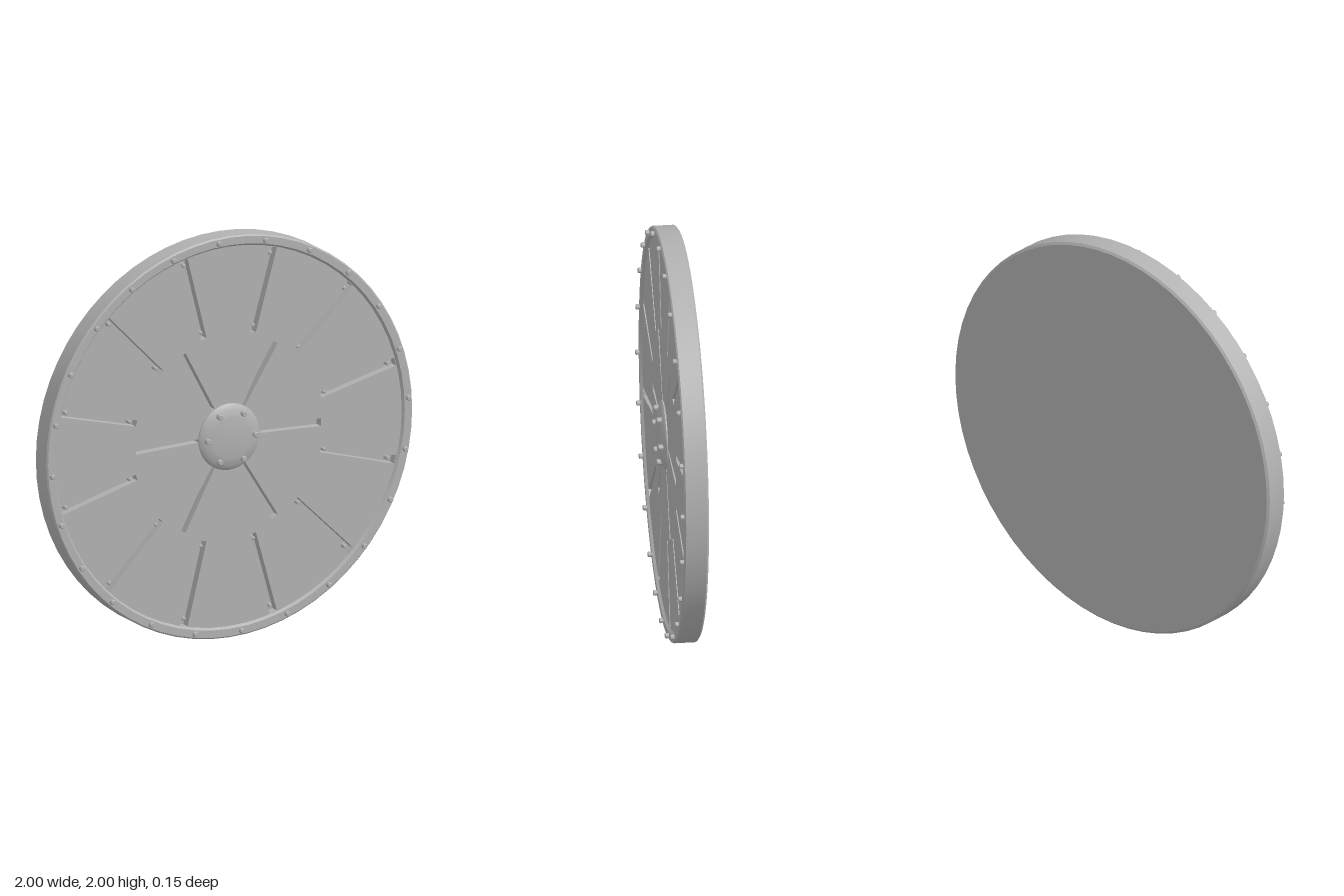
import * as THREE from 'three';
import { toCreasedNormals } from 'three/addons/utils/BufferGeometryUtils.js';

const FLOOR = -0.012; // bottom of the slots
const FACE = 0.03;    // front of the recessed plates
const RIM = 0.043;    // front of the outer rim

export function createModel() {
  const steel = new THREE.MeshStandardMaterial({ color: 0xb2b2b2 });
  steel.name = 'grey steel';
  const model = new THREE.Group();
  const disc = new THREE.Group();
  disc.name = 'roundDoor';
  disc.position.y = 1;
  model.add(disc);

  const add = (name, geometry) => {
    const mesh = new THREE.Mesh(geometry, steel);
    mesh.name = name;
    disc.add(mesh);
    return mesh;
  };

  // Turned part whose axis points to the front; points are [radius, z]
  const turned = (points, segments) => {
    const g = new THREE.LatheGeometry(points.map(([r, z]) => new THREE.Vector2(r, z)), segments);
    g.rotateX(Math.PI / 2);
    return toCreasedNormals(g, 0.4);
  };

  // Tapered radial slot used as a hole in a plate
  const slot = (angle, r0, r1, w0, w1) => {
    const c = Math.cos(angle), s = Math.sin(angle);
    const corners = [[r0, -w0 / 2], [r0, w0 / 2], [r1, w1 / 2], [r1, -w1 / 2]];
    return new THREE.Path(corners.map(([r, t]) => new THREE.Vector2(r * c - t * s, r * s + t * c)));
  };

  const plate = (radius, holes) => {
    const shape = new THREE.Shape().absarc(0, 0, radius, 0, Math.PI * 2);
    shape.holes.push(...holes);
    const g = new THREE.ExtrudeGeometry(shape, { depth: FACE - FLOOR, bevelEnabled: false, curveSegments: 64 });
    return g.translate(0, 0, FLOOR);
  };

  // Ring of bolts with slightly chamfered heads
  const bolts = (name, count, ring, start, radius, z0, z1) => {
    const g = turned([[radius, z0], [radius, z1 - 0.003], [radius - 0.003, z1], [0, z1]], 10);
    for (let i = 0; i < count; i++) {
      const a = start + (i / count) * Math.PI * 2;
      add(name, g).position.set(ring * Math.cos(a), ring * Math.sin(a), 0);
    }
  };

  // Outer body: back, wall, rim and sunken floor
  add('rimBody', turned([
    [0, -0.075], [0.988, -0.075], [1, -0.066], [1, 0.036], [0.993, RIM],
    [0.956, RIM], [0.946, FACE], [0.946, FLOOR], [0, FLOOR],
  ], 64));

  // Outer plate with twelve slots and inner plate with six
  const deg = Math.PI / 180;
  const outerHoles = [new THREE.Path().absarc(0, 0, 0.513, 0, Math.PI * 2, true)];
  for (let i = 0; i < 12; i++) outerHoles.push(slot((15 + i * 30) * deg, 0.52, 0.942, 0.03, 0.042));
  add('outerPlate', plate(0.946, outerHoles));
  const innerHoles = [];
  for (let i = 0; i < 6; i++) innerHoles.push(slot(i * 60 * deg, 0.14, 0.505, 0.014, 0.04));
  add('innerPlate', plate(0.513, innerHoles));

  // Domed hub
  add('hub', turned([
    [0.165, FLOOR], [0.165, 0.036], [0.158, 0.043], [0.14, 0.051], [0.115, 0.058], [0.105, 0.06], [0, 0.06],
  ], 40));

  bolts('rimBolt', 24, 0.974, 3.6 * deg, 0.013, RIM - 0.01, 0.062);
  bolts('hubBolt', 6, 0.13, 0, 0.014, 0.045, 0.075);
  bolts('outerSlotBolt', 12, 0.91, 15 * deg, 0.01, FLOOR, 0.02);
  bolts('innerSlotBolt', 12, 0.55, 15 * deg, 0.009, FLOOR, 0.02);

  return model;
}
